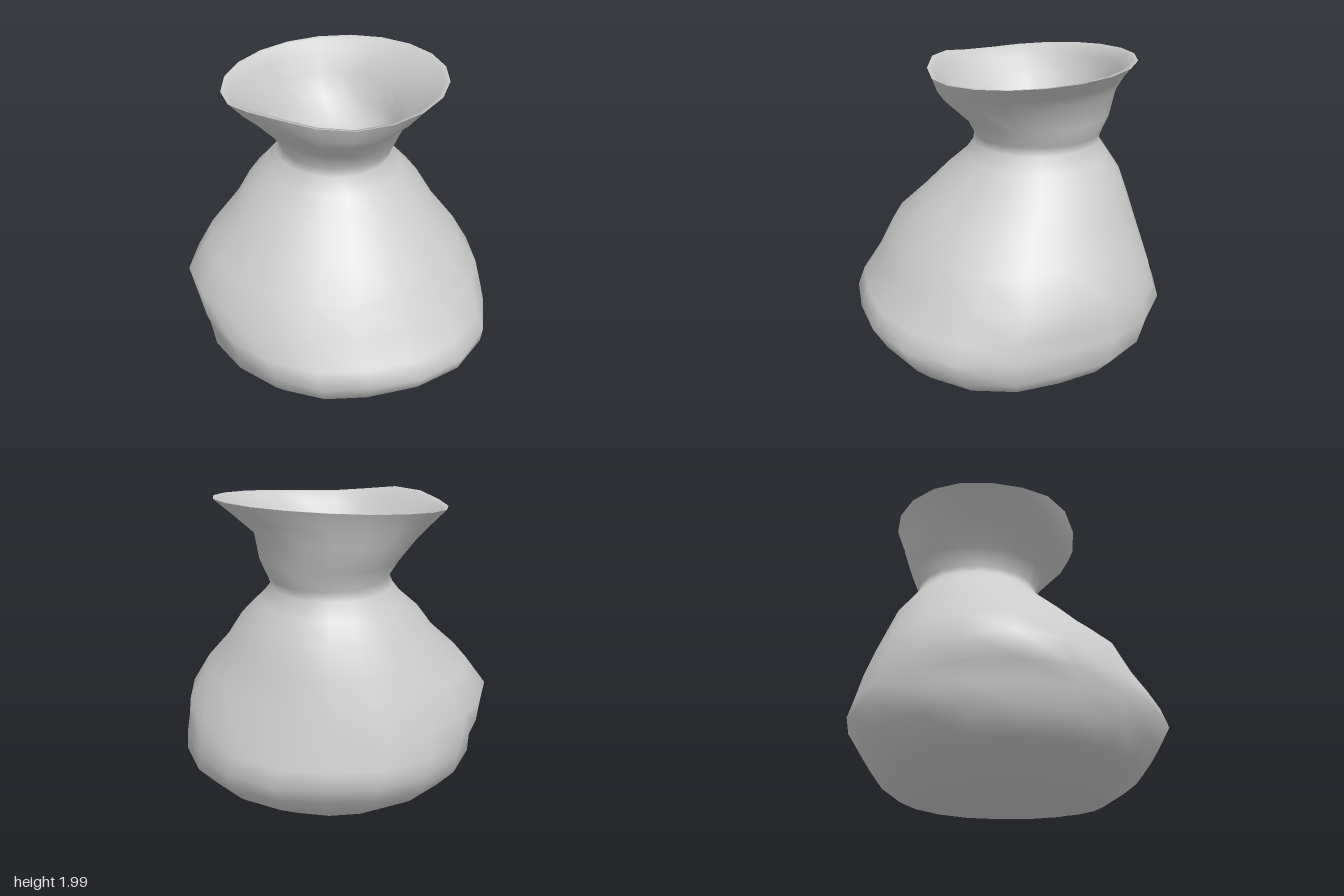
import * as THREE from 'three';

const SIDES = 20;

// Each section: [y, xMin, xMax, zMin, zMax, rim warp 0..1]
const OUTER = [
  [0.005, 0, 0, 0, 0, 0],
  [0.03, -0.35, 0.37, -0.59, 0.58, 0],
  [0.08, -0.6, 0.64, -0.69, 0.66, 0],
  [0.19, -0.81, 0.89, -0.82, 0.82, 0],
  [0.32, -0.91, 0.985, -0.91, 0.92, 0],
  [0.46, -0.91, 0.965, -1, 1, 0],
  [0.56, -0.965, 0.955, -0.97, 0.95, 0],
  [0.71, -1, 0.945, -0.935, 0.83, 0],
  [0.9, -0.86, 0.83, -0.88, 0.74, 0],
  [1.08, -0.67, 0.68, -0.82, 0.56, 0],
  [1.24, -0.56, 0.58, -0.76, 0.39, 0],
  [1.36, -0.43, 0.46, -0.68, 0.26, 0],
  [1.45, -0.36, 0.385, -0.62, 0.2, 0],
  [1.51, -0.335, 0.405, -0.62, 0.2, 0],
  [1.62, -0.4, 0.455, -0.67, 0.25, 0.2],
  [1.76, -0.51, 0.485, -0.725, 0.385, 0.5],
  [1.84, -0.59, 0.6, -0.74, 0.435, 0.8],
  [1.935, -0.68, 0.72, -0.79, 0.47, 1],
];
const INNER = [
  [1.935, -0.68, 0.72, -0.79, 0.47, 1],
  [1.93, -0.645, 0.685, -0.76, 0.44, 1],
  [1.87, -0.59, 0.62, -0.71, 0.41, 0.9],
  [1.76, -0.47, 0.47, -0.67, 0.34, 0.5],
  [1.62, -0.36, 0.41, -0.58, 0.22, 0.2],
  [1.51, -0.27, 0.35, -0.48, 0.16, 0],
  [1.45, -0.14, 0.24, -0.33, 0.08, 0],
  [1.43, 0.05, 0.05, -0.12, -0.12, 0],
];

// Tent-shaped falloff around a height
const near = (y, centre, reach) => Math.max(0, 1 - Math.abs(y - centre) / reach);

// Uneven bulge of the body: fuller corners low down, pinched beside the right tip
function bulge(y, a) {
  const c = Math.cos(a), corner = Math.abs(Math.sin(2 * a));
  const full = 0.05 + 0.035 * c + 0.02 * Math.sin(2 * a);
  const pinch = 0.06 * Math.max(0, -c);
  return 1 + corner * (full * near(y, 0.4, 0.5) - pinch * near(y, 0.7, 0.25));
}

// Height of the rim: leaning forward, with one raised spot at the front right
function warp(a) {
  const raised = Math.max(0, Math.cos(a - 2.3)) ** 8;
  return 0.03 * Math.cos(a) - 0.05 * Math.sin(a) + 0.065 * raised;
}

// Skins a stack of oval sections
function loft(sections) {
  const pos = [], index = [];
  sections.forEach(([y, x0, x1, z0, z1, amount], r) => {
    for (let i = 0; i < SIDES; i++) {
      const a = (i / SIDES) * Math.PI * 2, k = bulge(y, a);
      pos.push(
        (x0 + x1) / 2 + ((x1 - x0) / 2) * Math.cos(a) * k,
        y + amount * warp(a),
        (z0 + z1) / 2 + ((z1 - z0) / 2) * Math.sin(a) * k
      );
      if (r > 0) {
        const j = (i + 1) % SIDES, b = (r - 1) * SIDES, t = r * SIDES;
        index.push(b + i, t + i, t + j, b + i, t + j, b + j);
      }
    }
  });
  const geo = new THREE.BufferGeometry();
  geo.setAttribute('position', new THREE.Float32BufferAttribute(pos, 3));
  geo.setIndex(index);
  geo.computeVertexNormals();
  // closed ends share one straight normal
  const n = geo.attributes.normal;
  sections.forEach((section, r) => {
    if (section[1] !== section[2]) return;
    for (let i = 0; i < SIDES; i++) n.setXYZ(r * SIDES + i, 0, r === 0 ? -1 : 1, 0);
  });
  return geo;
}

export function createModel() {
  const group = new THREE.Group();
  group.name = 'pouch';
  const material = new THREE.MeshStandardMaterial({ color: 0xcccccc, side: THREE.DoubleSide });
  const parts = { pouchBody: OUTER, mouthLining: INNER };
  for (const [name, sections] of Object.entries(parts)) {
    const mesh = new THREE.Mesh(loft(sections), material);
    mesh.name = name;
    group.add(mesh);
  }
  return group;
}
